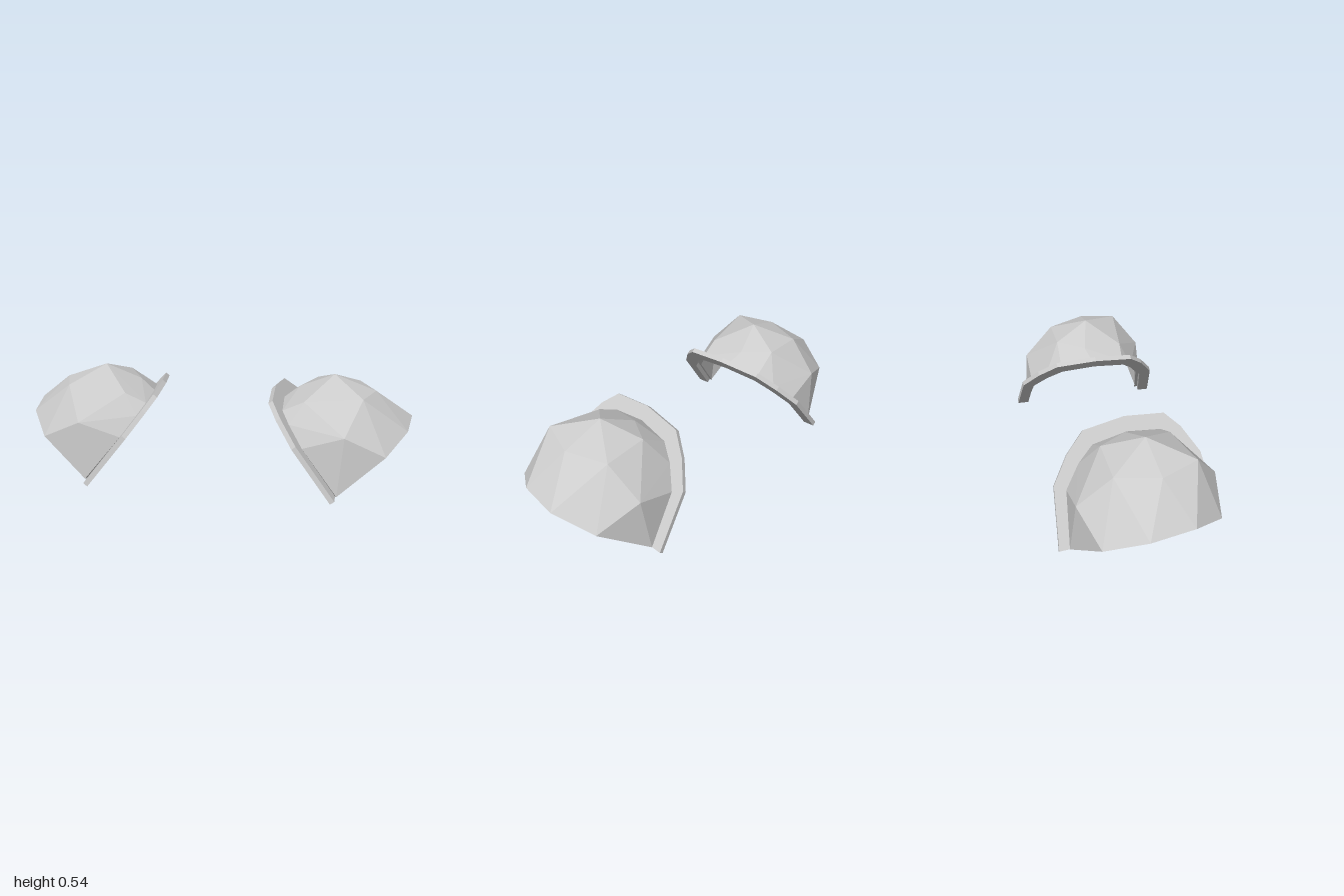
import * as THREE from 'three';
import { ConvexGeometry } from 'three/addons/geometries/ConvexGeometry.js';

const V = (x, y, z) => new THREE.Vector3(x, y, z);

// Rim arch in its own plane: [z, distance up the slope]
const RIM_OUTER = [[-0.405, 0], [-0.385, 0.3], [-0.305, 0.43], [-0.21, 0.53], [0, 0.56],
  [0.2, 0.54], [0.275, 0.46], [0.355, 0.32], [0.405, 0]];
const RIM_INNER = [[-0.345, 0], [-0.33, 0.27], [-0.255, 0.38], [-0.175, 0.455], [0, 0.485],
  [0.17, 0.465], [0.23, 0.4], [0.3, 0.28], [0.345, 0]];

// Slanted plane of the rim, facing down and inward
const rimMatrix = new THREE.Matrix4()
  .makeBasis(V(-0.06, 0.01, 1), V(-0.62, 0.78, 0), V(-0.78, -0.62, 0))
  .setPosition(0.645, 0.018, 0);

// Lower outer edge of the dome, then its faceted crown
const OUTER_EDGE = [[0.63, 0.022, 0.353], [0.85, 0.22, 0.3], [0.96, 0.295, 0.135],
  [1.0, 0.302, -0.08], [0.91, 0.213, -0.26], [0.668, 0.015, -0.355]];
const CROWN = [[0.593, 0.535, 0.015], [0.8, 0.463, 0.03], [0.73, 0.474, 0.213],
  [0.73, 0.45, -0.167], [0.45, 0.435, 0.18], [0.42, 0.45, -0.03], [0.51, 0.46, -0.17],
  [0.65, 0.32, 0.337], [0.7, 0.297, -0.327]];

function geometryFromTriangles(tris) {
  const g = new THREE.BufferGeometry().setFromPoints(tris.flat());
  g.computeVertexNormals();
  return g;
}

// Hull of the points, opened on its two undersides and given a wall thickness
function domeGeometry() {
  const points = [...OUTER_EDGE, ...CROWN].map(p => V(...p));
  for (const [z, t] of RIM_INNER) points.push(V(z, t, 0).applyMatrix4(rimMatrix));
  const pos = new ConvexGeometry(points).getAttribute('position');
  const outer = [];
  for (let i = 0; i < pos.count; i += 3) {
    const t = [0, 1, 2].map(k => new THREE.Vector3().fromBufferAttribute(pos, i + k));
    const n = new THREE.Triangle(...t).getNormal(new THREE.Vector3());
    if (n.y > -0.45) outer.push(t);
  }
  const pivot = V(0.63, 0, 0);
  const inset = p => p.clone().sub(pivot).multiplyScalar(0.95).add(pivot);
  const all = [...outer, ...outer.map(([a, b, c]) => [inset(a), inset(c), inset(b)])];

  // Lip along every open edge
  const key = (a, b) => [...a.toArray(), ...b.toArray()].map(n => n.toFixed(4)).join();
  const edges = outer.flatMap(([a, b, c]) => [[a, b], [b, c], [c, a]]);
  const used = new Set(edges.map(([a, b]) => key(a, b)));
  for (const [a, b] of edges) {
    if (used.has(key(b, a))) continue;
    all.push([b, a, inset(a)], [b, inset(a), inset(b)]);
  }
  return geometryFromTriangles(all);
}

// Flat arched flange along the inner opening
function rimGeometry() {
  const outline = [...RIM_OUTER, ...[...RIM_INNER].reverse()].map(p => new THREE.Vector2(...p));
  const g = new THREE.ExtrudeGeometry(new THREE.Shape(outline), { depth: 0.025, bevelEnabled: false });
  return g.applyMatrix4(rimMatrix);
}

// Mirror across x, keeping faces outward
function mirrored(geometry) {
  const g = geometry.index ? geometry.toNonIndexed() : geometry;
  const p = g.getAttribute('position');
  const tris = [];
  for (let i = 0; i < p.count; i += 3) {
    tris.push([0, 2, 1].map(k => V(-p.getX(i + k), p.getY(i + k), p.getZ(i + k))));
  }
  return geometryFromTriangles(tris);
}

export function createModel() {
  const model = new THREE.Group();
  model.name = 'shoulderPads';
  const material = new THREE.MeshStandardMaterial({
    color: 0xcccccc, flatShading: true, side: THREE.DoubleSide,
  });
  const parts = { Dome: domeGeometry(), Rim: rimGeometry() };
  for (const side of ['left', 'right']) {
    const pad = new THREE.Group();
    pad.name = side + 'ShoulderPad';
    for (const [part, geometry] of Object.entries(parts)) {
      const mesh = new THREE.Mesh(side === 'left' ? geometry : mirrored(geometry), material);
      mesh.name = side + part;
      pad.add(mesh);
    }
    model.add(pad);
  }
  return model;
}
